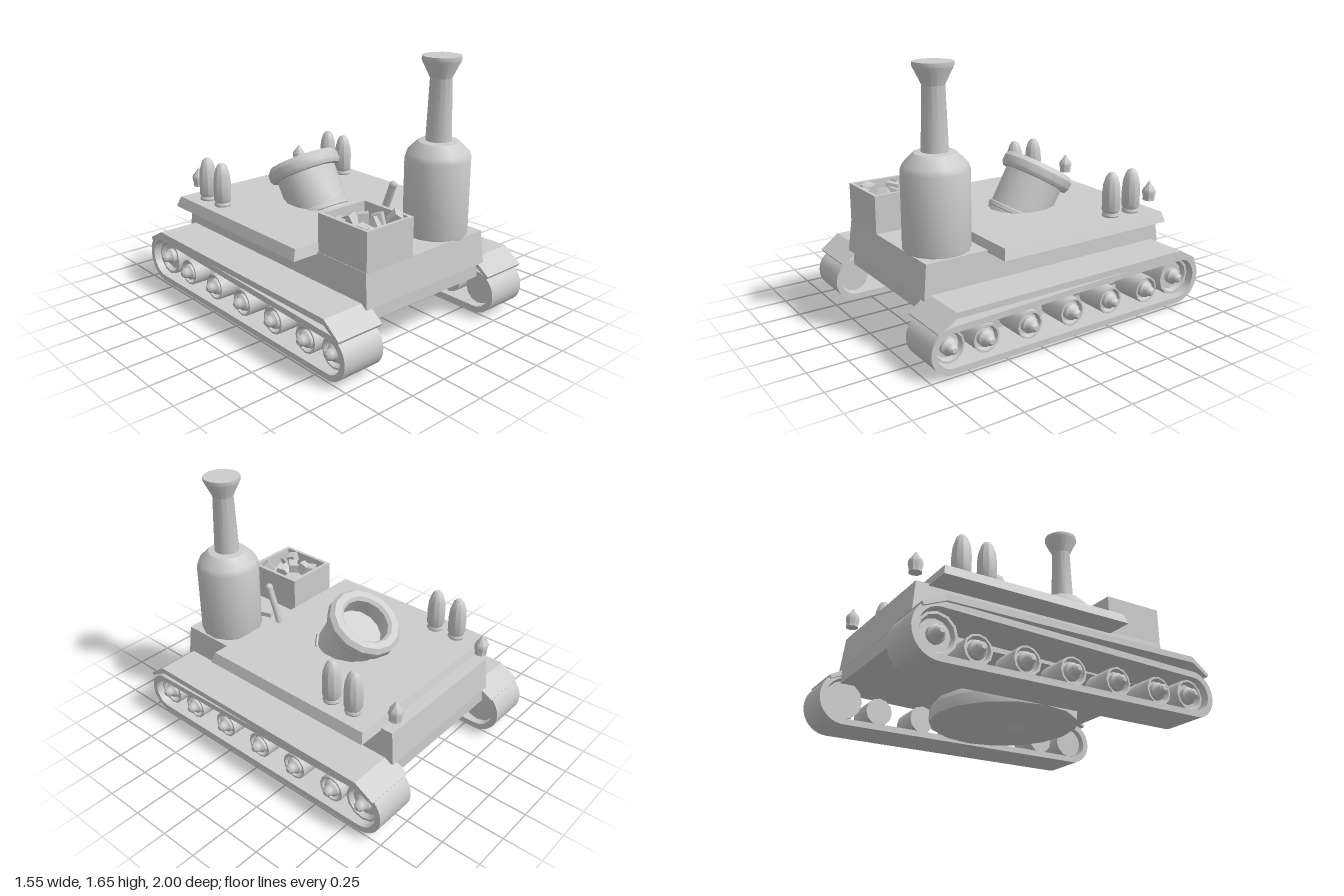
import * as THREE from 'three';
import { toCreasedNormals } from 'three/addons/utils/BufferGeometryUtils.js';

const gray = new THREE.MeshStandardMaterial({ color: 0xcccccc });
gray.name = 'plain gray';

export function createModel() {
  const model = new THREE.Group();
  model.name = 'steamMortarTank';

  const add = (name, geo, x = 0, y = 0, z = 0, parent = model) => {
    const m = new THREE.Mesh(geo, gray);
    m.name = name;
    m.position.set(x, y, z);
    parent.add(m);
    return m;
  };
  const lathe = (pts, sides = 12) =>
    toCreasedNormals(new THREE.LatheGeometry(pts.map(p => new THREE.Vector2(...p)), sides), 0.6);
  // Box tapering from half-size (x0, z0) at the bottom to (x1, z1) at the top
  const taper = (x0, z0, x1, z1, h) => {
    const g = new THREE.BoxGeometry(2, h, 2), p = g.attributes.position;
    for (let i = 0; i < p.count; i++) {
      const top = p.getY(i) > 0;
      p.setX(i, p.getX(i) * (top ? x1 : x0));
      p.setZ(i, p.getZ(i) * (top ? z1 : z0));
    }
    g.translate(0, h / 2, 0);
    g.computeVertexNormals();
    return g;
  };
  // Side profile (horizontal axis = -z) extruded along x
  const sideExtrude = (shape, width) => {
    const g = new THREE.ExtrudeGeometry(shape, { depth: width, bevelEnabled: false, curveSegments: 10 });
    g.rotateY(Math.PI / 2);
    return toCreasedNormals(g, 0.5);
  };

  // Hull and deck
  add('lowerHull', taper(0.465, 0.875, 0.465, 0.875, 0.1), 0, 0.27, 0);
  add('hull', taper(0.5, 0.885, 0.488, 0.862, 0.21), 0, 0.36, 0.008);
  add('deckPlate', taper(0.665, 0.622, 0.64, 0.605, 0.065), 0, 0.557, -0.155);

  // Tracks
  const loop = (path, r0, r1) => {
    path.absarc(0.83, 0.185, r1, -Math.PI / 2, Math.PI / 2, false);
    path.absarc(-0.86, 0.16, r0, Math.PI / 2, Math.PI * 1.5, false);
    path.closePath();
    return path;
  };
  const beltShape = loop(new THREE.Shape(), 0.14, 0.165);
  beltShape.holes.push(loop(new THREE.Path(), 0.102, 0.127));
  const beltGeo = sideExtrude(beltShape, 0.285);
  const fenderShape = new THREE.Shape([
    [-0.96, 0.28], [-0.85, 0.35], [0.81, 0.345], [0.94, 0.29],
    [0.95, 0.31], [0.82, 0.383], [-0.85, 0.387], [-0.97, 0.297],
  ].map(p => new THREE.Vector2(...p)));
  const fenderGeo = sideExtrude(fenderShape, 0.32);
  const wheelGeo = R => lathe([
    [0, 0], [R, 0], [R, 0.2], [R * 0.87, 0.2], [R * 0.76, 0.17], [0.052, 0.17],
    [0.052, 0.2], [0.036, 0.215], [0.03, 0.24], [0.014, 0.255], [0, 0.255],
  ]);
  const wheels = [[0.86, 0.165, 0.097], [0.62, 0.15, 0.086], [0.32, 0.15, 0.086], [0.01, 0.15, 0.086],
    [-0.29, 0.15, 0.086], [-0.59, 0.15, 0.086], [-0.83, 0.185, 0.121]];
  for (const s of [1, -1]) {
    const track = new THREE.Group();
    track.name = s > 0 ? 'leftTrack' : 'rightTrack';
    model.add(track);
    add('belt', beltGeo, s > 0 ? 0.473 : -0.758, 0, 0, track);
    add('fender', fenderGeo, s > 0 ? 0.455 : -0.775, 0, 0, track);
    for (const [z, y, r] of wheels)
      add('wheel', wheelGeo(r), s * 0.512, y, z, track).rotation.z = -s * Math.PI / 2;
  }

  // Turning plate below the hull
  add('turningPlate', lathe([[0, 0.03], [0.42, 0.015], [0.45, 0.03], [0.45, 0.1], [0.43, 0.135], [0.38, 0.145], [0, 0.145]], 16));
  add('plateNub', lathe([[0, 0], [0.03, 0.004], [0.07, 0.03], [0, 0.035]], 8), 0, 0, 0.11);
  add('turningPillar', lathe([[0.2, 0.13], [0.2, 0.2], [0.185, 0.28]], 12));
  for (const s of [1, -1])
    add('plateLeg', new THREE.BoxGeometry(0.09, 0.16, 0.2), s * 0.265, 0.2, 0.24);
  const pipePath = new THREE.CatmullRomCurve3([[0.33, 0.28, 0.13], [0.37, 0.25, 0.13], [0.37, 0.16, 0.15],
    [0.37, 0.145, 0.21], [0.33, 0.16, 0.24]].map(p => new THREE.Vector3(...p)));
  add('underPipe', new THREE.TubeGeometry(pipePath, 12, 0.014, 6));

  // Mortar, tilted towards the back
  const mortar = add('mortar', lathe([
    [0.2, -0.55], [0.2, -0.375], [0.207, -0.37], [0.207, -0.345], [0.195, -0.34], [0.2, -0.1],
    [0.23, -0.098], [0.243, -0.075], [0.243, -0.03], [0.22, 0], [0.175, 0], [0.155, -0.02],
    [0.155, -0.13], [0, -0.13],
  ], 14), 0, 0.865, -0.27);
  mortar.rotation.x = -0.54;

  // Boiler with chimney
  add('boiler', lathe([
    [0, 0.56], [0.197, 0.56], [0.202, 0.58], [0.202, 1.04], [0.19, 1.075], [0.125, 1.14], [0.08, 1.145],
    [0.066, 1.52], [0.118, 1.625], [0.118, 1.65], [0, 1.65],
  ], 14), 0.28, 0, 0.68);

  // Control lever beside the boiler
  const leverPath = new THREE.CatmullRomCurve3([[0.1, 0.86, 0.4 + 0.09], [0.1, 0.78, 0.46], [0.1, 0.7, 0.43], [0.1, 0.6, 0.4]]
    .map(p => new THREE.Vector3(...p)));
  add('lever', new THREE.TubeGeometry(leverPath, 8, 0.024, 6));
  add('leverCap', new THREE.SphereGeometry(0.026, 8, 6), 0.1, 0.855, 0.49);
  const rod = add('leverRod', new THREE.BoxGeometry(0.03, 0.03, 0.12), 0.125, 0.65, 0.53);
  rod.rotation.y = 0.3;

  // Open coal box
  const rect = (P, x0, x1, y0, y1) => {
    const p = new P();
    p.moveTo(x0, y0); p.lineTo(x1, y0); p.lineTo(x1, y1); p.lineTo(x0, y1); p.closePath();
    return p;
  };
  const boxShape = rect(THREE.Shape, -0.485, -0.122, -0.872, -0.47);
  boxShape.holes.push(rect(THREE.Path, -0.463, -0.145, -0.85, -0.495));
  const boxGeo = new THREE.ExtrudeGeometry(boxShape, { depth: 0.245, bevelEnabled: false });
  boxGeo.rotateX(-Math.PI / 2);
  add('coalBox', boxGeo, 0, 0.565, 0);
  add('coalBoxFloor', new THREE.BoxGeometry(0.33, 0.14, 0.37), -0.304, 0.64, 0.672);
  [[-0.4, 0.57], [-0.36, 0.61], [-0.31, 0.66], [-0.27, 0.71], [-0.23, 0.7], [-0.18, 0.78], [-0.4, 0.81], [-0.42, 0.77]]
    .forEach(([x, z], i) => {
      const c = add('coalLump', new THREE.BoxGeometry(0.075, 0.06, 0.06), x, 0.755 + (i % 3) * 0.018, z);
      c.rotation.set(i * 0.7, i * 1.3 + 0.5, i * 0.4);
    });

  // Shells standing on the deck and small finials at the back
  const shellGeo = lathe([
    [0, 0], [0.052, 0], [0.056, 0.012], [0.05, 0.03], [0.057, 0.045], [0.058, 0.15],
    [0.052, 0.21], [0.036, 0.26], [0.018, 0.282], [0, 0.286],
  ], 10);
  const finialGeo = lathe([[0, 0], [0.04, 0], [0.038, 0.02], [0.046, 0.055], [0.04, 0.075], [0.02, 0.1], [0, 0.132]], 8);
  for (const s of [1, -1]) {
    for (const z of [-0.6, -0.435]) add('shell', shellGeo, s * 0.525, 0.62, z);
    add('rearFinial', finialGeo, s * 0.443, 0.638, -0.84);
  }
  return model;
}
